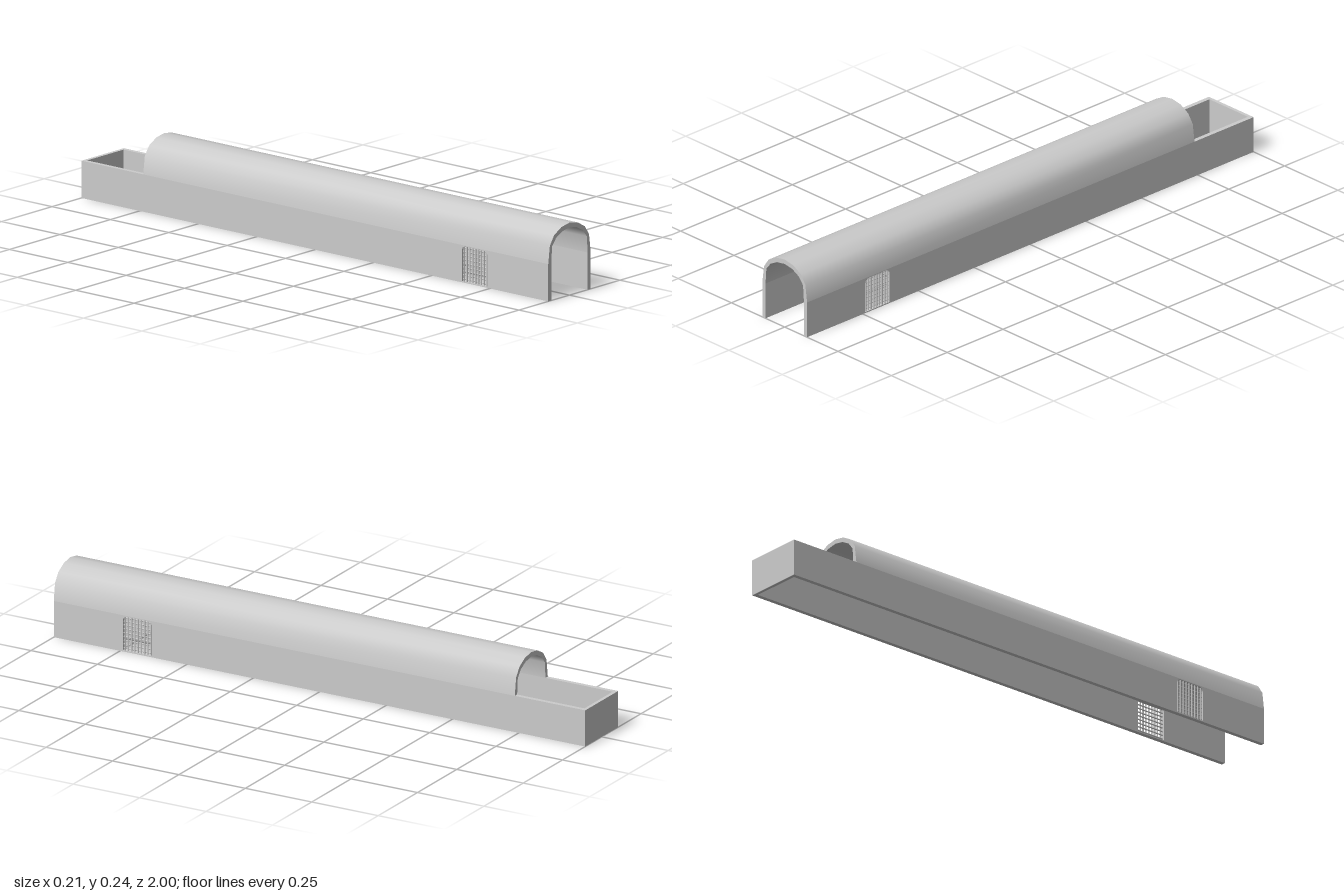
import * as THREE from 'three';
import { toCreasedNormals } from 'three/addons/utils/BufferGeometryUtils.js';

export function createModel() {
  const group = new THREE.Group();
  const material = new THREE.MeshStandardMaterial({ color: 0xcccccc });
  const halfWidth = 0.105, wall = 0.015, sideTop = 0.125;

  function add(name, geometry, x = 0, y = 0, z = 0, parent = group) {
    const mesh = new THREE.Mesh(geometry, material);
    mesh.name = name;
    mesh.position.set(x, y, z);
    parent.add(mesh);
    return mesh;
  }

  // Arched roof: outer and inner half profiles mirrored across x
  const outer = [[0.105, 0.125], [0.097, 0.185], [0.076, 0.216], [0.04, 0.236], [0, 0.243]];
  const inner = [[0.09, 0.125], [0.086, 0.18], [0.066, 0.205], [0.036, 0.221], [0, 0.227]];
  const mirrored = half => [...half, ...half.slice(0, -1).reverse().map(([x, y]) => [-x, y])];
  const profile = [...mirrored(outer), ...mirrored(inner).reverse()];
  const arch = new THREE.Shape(profile.map(([x, y]) => new THREE.Vector2(x, y)));
  const roof = new THREE.ExtrudeGeometry(arch, { depth: 1.735, bevelEnabled: false });
  add('archedRoof', toCreasedNormals(roof, 0.65), 0, 0, -0.735);

  // Side panel, drawn in z and y, with a rounded grille window
  const panel = new THREE.Shape();
  panel.moveTo(-1, 0).lineTo(1, 0).lineTo(1, sideTop).lineTo(-1, sideTop).closePath();
  const z0 = 0.63, z1 = 0.74, y0 = 0.004, y1 = 0.122, r = 0.018;
  const opening = new THREE.Path();
  opening.moveTo(z0, y0);
  opening.lineTo(z0, y1 - r);
  opening.quadraticCurveTo(z0, y1, z0 + r, y1);
  opening.lineTo(z1 - r, y1);
  opening.quadraticCurveTo(z1, y1, z1, y1 - r);
  opening.lineTo(z1, y0);
  opening.closePath();
  panel.holes.push(opening);
  const panelGeometry = new THREE.ExtrudeGeometry(panel, {
    depth: wall, bevelEnabled: false, curveSegments: 5,
  });
  panelGeometry.rotateY(-Math.PI / 2);

  // Grille wires
  const upright = new THREE.CylinderGeometry(0.0028, 0.0028, y1 - y0, 6);
  const crossbar = new THREE.CylinderGeometry(0.0025, 0.0025, z1 - z0, 6).rotateX(Math.PI / 2);

  for (const side of [1, -1]) {
    const label = side > 0 ? 'left' : 'right';
    add(label + 'SidePanel', panelGeometry, side > 0 ? halfWidth : -halfWidth + wall);

    const grille = new THREE.Group();
    grille.name = label + 'Grille';
    const x = side * (halfWidth - wall / 2);
    for (let i = 0; i < 9; i++) {
      const t = (i + 0.5) / 9;
      add('upright', upright, x + side * 0.003, (y0 + y1) / 2, z0 + t * (z1 - z0), grille);
      add('crossbar', crossbar, x, y0 + t * (y1 - y0), (z0 + z1) / 2, grille);
    }
    group.add(grille);
  }

  // Low wall closing the rear; the underside stays open
  add('rearWall', new THREE.BoxGeometry(2 * (halfWidth - wall), sideTop, 0.012), 0, sideTop / 2, -0.994);

  return group;
}
